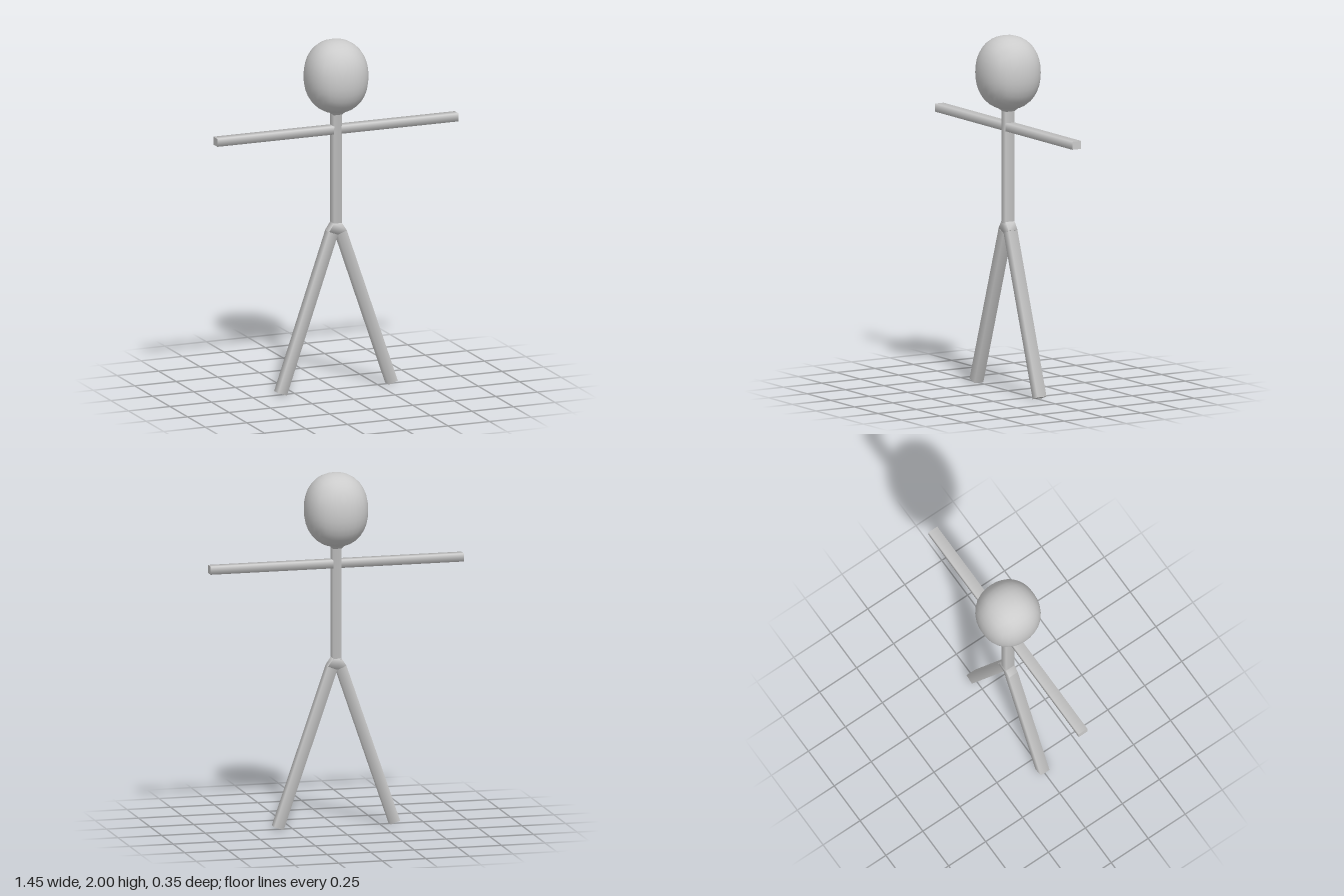
import * as THREE from 'three';
import { mergeVertices, toCreasedNormals } from 'three/addons/utils/BufferGeometryUtils.js';

const DEPTH = 0.058;
const material = new THREE.MeshStandardMaterial({ color: 0xcccccc });

function addMesh(group, name, geometry) {
  const mesh = new THREE.Mesh(geometry, material);
  mesh.name = name;
  group.add(mesh);
  return mesh;
}

// Four-sided bar with softly shaded sides, running between two points in the x-y plane
function addBar(group, name, from, to, width) {
  const a = new THREE.Vector3(...from, 0);
  const b = new THREE.Vector3(...to, 0);
  const geometry = new THREE.CylinderGeometry(Math.SQRT1_2, Math.SQRT1_2, 1, 4, 1, false, Math.PI / 4);
  geometry.scale(width, a.distanceTo(b), DEPTH);
  const bar = addMesh(group, name, geometry);
  bar.position.copy(a).lerp(b, 0.5);
  bar.quaternion.setFromUnitVectors(new THREE.Vector3(0, 1, 0), b.sub(a).normalize());
}

// Cube puffed out into a slightly squarish ball
function headGeometry() {
  let geometry = new THREE.BoxGeometry(2, 2, 2, 8, 8, 8);
  geometry.deleteAttribute('normal');
  geometry.deleteAttribute('uv');
  geometry = mergeVertices(geometry);
  const position = geometry.attributes.position;
  const v = new THREE.Vector3();
  const power = 2.2;
  for (let i = 0; i < position.count; i++) {
    v.fromBufferAttribute(position, i);
    // Even out the grid before projecting it
    v.set(...v.toArray().map((c) => Math.tan((c * Math.PI) / 4)));
    const sum = v.toArray().reduce((s, c) => s + Math.abs(c) ** power, 0);
    v.multiplyScalar(sum ** (-1 / power));
    position.setXYZ(i, v.x * 0.177, v.y * 0.208, v.z * 0.177);
  }
  geometry.computeVertexNormals();
  return geometry;
}

export function createModel() {
  const group = new THREE.Group();
  group.name = 'stickFigure';

  addMesh(group, 'head', headGeometry()).position.y = 1.792;

  // Neck flare blending into the head
  const neck = new THREE.CylinderGeometry(0.075, 0.035, 0.035, 4, 1, true, Math.PI / 4);
  neck.scale(0.95, 1, 1.15);
  addMesh(group, 'neck', neck).position.y = 1.592;

  addBar(group, 'torso', [0, 0.945], [0, 1.61], 0.046);

  // Hip wedge joining the legs to the torso
  const outline = [[-0.023, 0.955], [-0.053, 0.91], [0, 0.89], [0.053, 0.91], [0.023, 0.955]];
  const shape = new THREE.Shape(outline.map(([x, y]) => new THREE.Vector2(x, y)));
  const hips = new THREE.ExtrudeGeometry(shape, { depth: DEPTH, bevelEnabled: false });
  hips.translate(0, 0, -DEPTH / 2);
  addMesh(group, 'hips', toCreasedNormals(hips, 1.7));

  // Arms and legs, mirrored
  for (const [side, s] of [['left', 1], ['right', -1]]) {
    addBar(group, side + 'Arm', [s * 0.022, 1.488], [s * 0.727, 1.488], 0.045);
    addBar(group, side + 'Leg', [s * 0.334, 0.009], [s * 0.0265, 0.9], 0.056);
  }
  return group;
}
